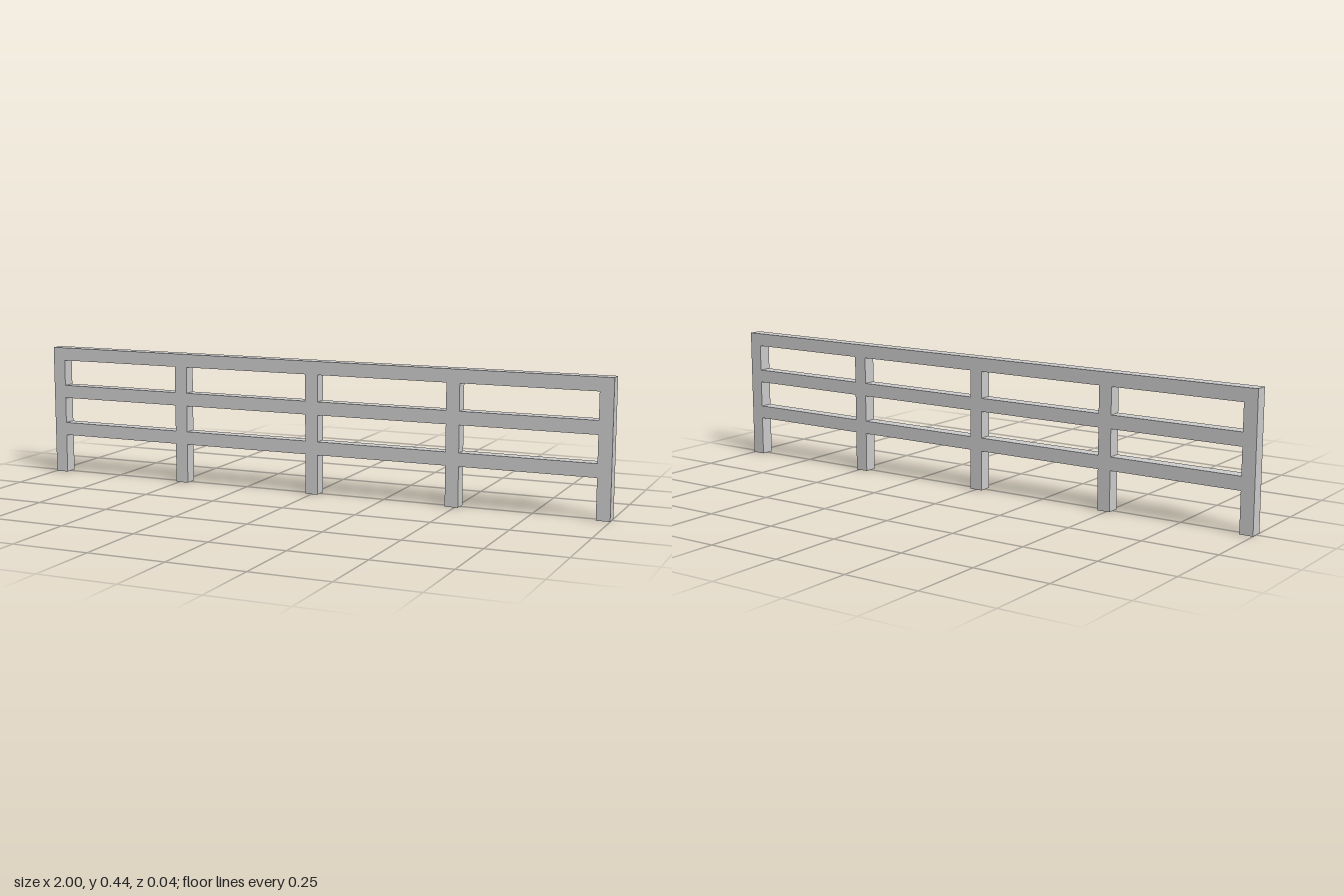
import * as THREE from 'three';

const T = 2 / 45;           // square timber thickness
const HEIGHT = 10 * T;
const RAIL_STEP = 3 * T;    // spacing between rails
const POSTS = 5;
const PITCH = (2 - T) / (POSTS - 1);

export function createModel() {
  const group = new THREE.Group();
  group.name = 'fence';

  // Outline: straight top, posts reaching down below the lowest rail
  const lowest = HEIGHT - 2 * RAIL_STEP - T;
  const outline = new THREE.Shape();
  outline.moveTo(1, HEIGHT);
  outline.lineTo(-1, HEIGHT);
  for (let i = 0; i < POSTS; i++) {
    const x = -1 + i * PITCH;
    if (i > 0) outline.lineTo(x, lowest);
    outline.lineTo(x, 0);
    outline.lineTo(x + T, 0);
    if (i < POSTS - 1) outline.lineTo(x + T, lowest);
  }
  outline.closePath();

  // Openings between posts and rails, two rows
  for (let row = 0; row < 2; row++) {
    for (let i = 0; i < POSTS - 1; i++) {
      const x0 = -1 + i * PITCH + T;
      const x1 = -1 + (i + 1) * PITCH;
      const y0 = lowest + T + row * RAIL_STEP;
      const y1 = y0 + RAIL_STEP - T;
      const hole = new THREE.Path();
      hole.moveTo(x0, y0);
      hole.lineTo(x0, y1);
      hole.lineTo(x1, y1);
      hole.lineTo(x1, y0);
      hole.closePath();
      outline.holes.push(hole);
    }
  }

  // Posts and rails are flush, so they form one seamless frame
  const geometry = new THREE.ExtrudeGeometry(outline, { depth: T, bevelEnabled: false });
  geometry.translate(0, 0, -T / 2);
  const frame = new THREE.Mesh(
    geometry,
    new THREE.MeshStandardMaterial({ color: 0xcccccc, flatShading: true })
  );
  frame.name = 'postAndRailFrame';
  group.add(frame);
  return group;
}
